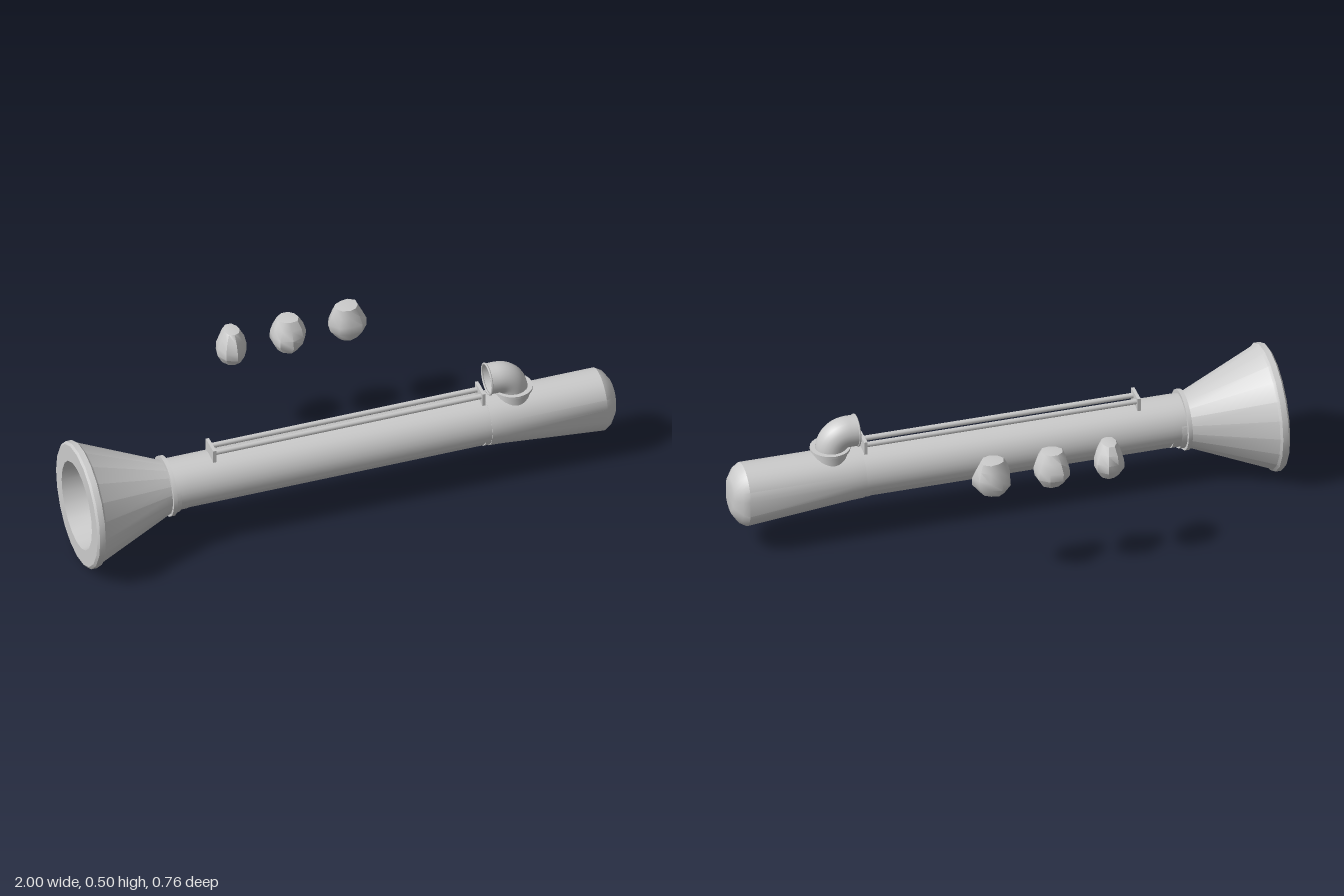
import * as THREE from 'three';
import { toCreasedNormals } from 'three/addons/utils/BufferGeometryUtils.js';

const AXIS_Z = 0.148, AXIS_Y = 0.235;
const material = new THREE.MeshStandardMaterial({ color: 0xcccccc, side: THREE.DoubleSide });

function add(group, name, geometry, x = 0, y = 0, z = 0) {
  const mesh = new THREE.Mesh(geometry, material);
  mesh.name = name;
  mesh.position.set(x, y, z);
  group.add(mesh);
  return mesh;
}

// Profile of [radius, height], turned about the y axis
function turned(profile, sides, crease = 0.5) {
  const points = profile.map(([r, h]) => new THREE.Vector2(r, h));
  return toCreasedNormals(new THREE.LatheGeometry(points, sides), crease);
}

// Skin over rings of [x, y, z] points that run from top towards +z
function loft(rings, crease = 0.5) {
  const n = rings[0].length, index = [];
  for (let i = 0; i < rings.length - 1; i++) {
    for (let j = 0; j < n; j++) {
      const a = i * n + j, b = i * n + (j + 1) % n;
      index.push(a, b, a + n, b, b + n, a + n);
    }
  }
  const g = new THREE.BufferGeometry();
  g.setAttribute('position', new THREE.Float32BufferAttribute(rings.flat(2), 3));
  g.setIndex(index);
  return toCreasedNormals(g, crease);
}

// Tube section; the lower half can drop, and the lower sides can be cut flat
function ring(x, { r = 0.095, drop = 0, scale = 1, flat = false }) {
  const n = 32, points = [];
  const flatStart = [0.088, -0.036], flatEnd = [0.045, -0.084];
  for (let j = 0; j < n; j++) {
    const a = j / n * Math.PI * 2;
    let y = Math.cos(a) * r, z = Math.sin(a) * r;
    if (flat && y < flatStart[1] && y > flatEnd[1]) {
      const t = (flatStart[1] - y) / (flatStart[1] - flatEnd[1]);
      z = Math.sign(z) * (flatStart[0] + (flatEnd[0] - flatStart[0]) * t);
    }
    y += y < -1e-6 ? -drop / 2 : drop / 2;
    points.push([x, AXIS_Y + 0.002 - drop / 2 + y * scale, AXIS_Z + z * scale]);
  }
  return points;
}

// Lumpy stone with a narrow top
function stoneGeometry(seed, rx, rz, topWidth) {
  const levels = [[0, 0], [0.6, 0.005], [0.95, 0.04], [0.95, 0.07], [0.78, 0.105],
    [topWidth, 0.134], [0, 0.138]];
  const g = new THREE.LatheGeometry(levels.map(([r, h]) => new THREE.Vector2(r, h)), 9);
  const p = g.attributes.position;
  for (let i = 0; i < p.count; i++) {
    const x = p.getX(i), y = p.getY(i), z = p.getZ(i);
    const a = Math.atan2(z, x);
    const k = 1 + 0.07 * Math.sin(2 * a + seed * 2 + y * 20) + 0.05 * Math.sin(3 * a + seed * 5 - y * 35);
    p.setXYZ(i, x * rx * k, y, z * rz * k);
  }
  return toCreasedNormals(g, 0.75);
}

export function createModel() {
  const model = new THREE.Group();
  model.name = 'launchTube';

  // Flared bell with a recessed mouth
  const bell = turned([
    [0, -0.88], [0.15, -0.88], [0.162, -1], [0.222, -1], [0.231, -0.993],
    [0.231, -0.972], [0.222, -0.964], [0.097, -0.67], [0.097, -0.64],
  ], 20).rotateZ(-Math.PI / 2);
  add(model, 'bell', bell, 0, 0.231, AXIS_Z);

  // Collar between bell and barrel
  const collar = turned([
    [0.09, -0.675], [0.11, -0.675], [0.11, -0.66], [0.09, -0.66],
  ], 32).rotateZ(-Math.PI / 2);
  add(model, 'collar', collar, 0, 0.235, AXIS_Z);

  // Barrel with flattened lower sides
  add(model, 'barrel', loft([
    ring(-0.67, {}), ring(-0.61, {}), ring(-0.61, { flat: true }),
    ring(0.5, { flat: true }), ring(0.5, {}), ring(0.56, {}),
  ], 0.4));

  // Rear section, deepening towards a rounded end
  const r = 0.097;
  add(model, 'rearSection', loft([
    ring(0.52, { r, scale: 0 }), ring(0.52, { r }), ring(0.57, { r, drop: 0.003 }),
    ring(0.95, { r, drop: 0.042 }), ring(0.973, { r, drop: 0.042, scale: 0.88 }),
    ring(0.995, { r, drop: 0.042, scale: 0.6 }), ring(1, { r, drop: 0.042, scale: 0.45 }),
    ring(1, { r, drop: 0.042, scale: 0 }),
  ]));

  // Twin rails held between two end plates
  const rails = new THREE.Group();
  rails.name = 'rails';
  for (const side of [-1, 1]) {
    const rod = new THREE.CylinderGeometry(0.01, 0.01, 1, 10).rotateZ(Math.PI / 2);
    add(rails, 'railRod', rod, 0.005, 0.354, AXIS_Z + side * 0.021);
    add(rails, 'railEndPlate', new THREE.BoxGeometry(0.012, 0.05, 0.08), 0.005 + side * 0.503, 0.35, AXIS_Z);
  }
  model.add(rails);

  // Elbow pipe, open towards the bell
  const elbow = new THREE.Group();
  elbow.name = 'elbowPipe';
  const px = 0.626;
  const path = new THREE.CurvePath();
  const v = (x, y) => new THREE.Vector3(x, y, 0);
  path.add(new THREE.LineCurve3(v(0, 0.3), v(0, 0.347)));
  path.add(new THREE.CubicBezierCurve3(v(0, 0.347), v(0, 0.382), v(-0.026, 0.408), v(-0.06, 0.408)));
  path.add(new THREE.LineCurve3(v(-0.06, 0.408), v(-0.094, 0.408)));
  add(elbow, 'bentPipe', new THREE.TubeGeometry(path, 28, 0.056, 24), px, 0, AXIS_Z);
  const lip = new THREE.TorusGeometry(0.056, 0.004, 6, 24).rotateY(Math.PI / 2);
  add(elbow, 'pipeLip', lip, px - 0.092, 0.408, AXIS_Z);
  add(elbow, 'pipeFlange', turned([
    [0, 0.29], [0.062, 0.29], [0.062, 0.348], [0.072, 0.348], [0.072, 0.357], [0.054, 0.357],
  ], 24), px + 0.003, 0, AXIS_Z);
  model.add(elbow);

  // Three loose stones behind the barrel
  const stones = [[-0.26, 0.058, 0.069, 0.5], [-0.05, 0.069, 0.063, 0.55], [0.17, 0.069, 0.062, 0.6]];
  stones.forEach(([x, rx, rz, top], i) => {
    add(model, 'stone', stoneGeometry(i + 1, rx, rz, top), x, 0.36, -0.315);
  });

  return model;
}
